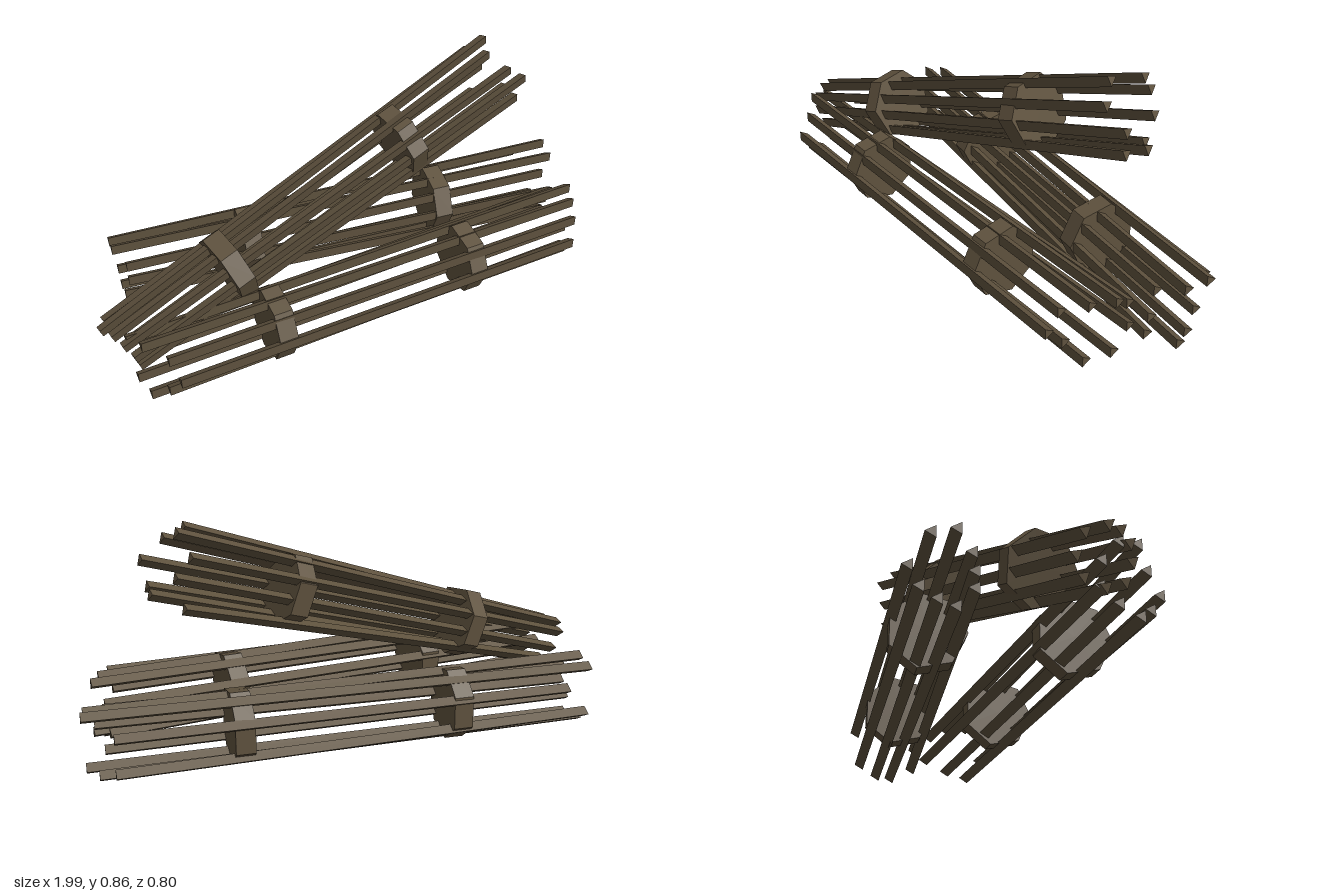
import * as THREE from 'three';

const bark = new THREE.MeshStandardMaterial({ color: 0x5f523e, flatShading: true });
bark.name = 'weatheredWood';

const BAND_OFFSET = 0.395;  // bands sit either side of the middle

// Each stick: [start along axis, end along axis, ring radius at start, at end, optional shift around the ring in degrees]
const frontSticks = [
  [-0.8, 0.82, 0.13, 0.13], [-0.82, 0.84, 0.105, 0.13], [-0.89, 0.89, 0.115, 0.1],
  [-0.92, 0.93, 0.11, 0.12], [-0.9, 0.9, 0.11, 0.145], [-0.88, 0.89, 0.11, 0.165],
  [-0.9, 0.93, 0.11, 0.1], [-0.88, 0.88, 0.12, 0.125], [-0.83, 0.83, 0.105, 0.09],
];
const backSticks = [
  [-0.88, 0.88, 0.08, 0.125], [-0.88, 0.85, 0.095, 0.11], [-0.92, 0.92, 0.115, 0.095],
  [-0.92, 0.93, 0.11, 0.125], [-0.81, 0.83, 0.115, 0.14], [-0.9, 0.83, 0.11, 0.14, 20],
  [-0.9, 0.88, 0.11, 0.125, 14], [-0.87, 0.92, 0.115, 0.12, 4], [-0.9, 0.85, 0.1, 0.145],
];
const leaningSticks = [
  [-0.89, 0.89, 0.08, 0.13], [-0.86, 0.85, 0.1, 0.13], [-0.84, 0.87, 0.1, 0.09],
  [-0.83, 0.81, 0.1, 0.145], [-0.85, 0.9, 0.1, 0.105], [-0.85, 0.88, 0.1, 0.13],
  [-0.85, 0.92, 0.085, 0.11], [-0.86, 0.86, 0.075, 0.135], [-0.87, 0.83, 0.075, 0.14],
];

// Three-sided pole between two points, its flat side kept outward along +z
function makeStick(from, to) {
  const dir = to.clone().sub(from);
  const geo = new THREE.CylinderGeometry(0.023, 0.023, dir.length(), 3);
  geo.rotateY(Math.PI);
  const stick = new THREE.Mesh(geo, bark);
  stick.name = 'stick';
  stick.position.copy(from).add(to).multiplyScalar(0.5);
  stick.quaternion.setFromUnitVectors(new THREE.Vector3(0, 1, 0), dir.normalize());
  return stick;
}

// Bundle built along its local y, then laid along the given axis; phase turns the ring of sticks
function makeBundle(name, sticks, center, axis, up, phase = 0) {
  const bundle = new THREE.Group();
  bundle.name = name;

  // Ring of sticks
  sticks.forEach(([start, end, startRadius, endRadius, shift = 0], i) => {
    const a = THREE.MathUtils.degToRad(i * 40 + shift + phase);
    const at = (r, y) => new THREE.Vector3(-Math.sin(a) * r, y, Math.cos(a) * r);
    bundle.add(makeStick(at(startRadius, start), at(endRadius, end)));
  });

  // Seven-sided binding discs
  for (const side of [-1, 1]) {
    const band = new THREE.Mesh(new THREE.CylinderGeometry(0.136, 0.136, 0.07, 7), bark);
    band.name = 'band';
    band.position.y = side * BAND_OFFSET;
    bundle.add(band);
  }

  const y = axis.clone().normalize();
  const x = y.clone().cross(up).normalize();
  const z = x.clone().cross(y);
  bundle.quaternion.setFromRotationMatrix(new THREE.Matrix4().makeBasis(x, y, z));
  bundle.position.copy(center);
  return bundle;
}

export function createModel() {
  const V = (x, y, z) => new THREE.Vector3(x, y, z);
  const model = new THREE.Group();
  model.name = 'stickBundles';
  model.add(
    makeBundle('frontBundle', frontSticks, V(0.005, 0.14, 0.196), V(0.79, 0, -0.06), V(0, 0, 1)),
    makeBundle('backBundle', backSticks, V(0.065, 0.14, -0.232), V(0.79, 0, 0.04), V(0, 0, 1)),
    makeBundle('leaningBundle', leaningSticks, V(-0.133, 0.45, 0.003), V(0.74, 0.245, -0.157), V(0, 0.96, -0.29), 6),
  );
  return model;
}
